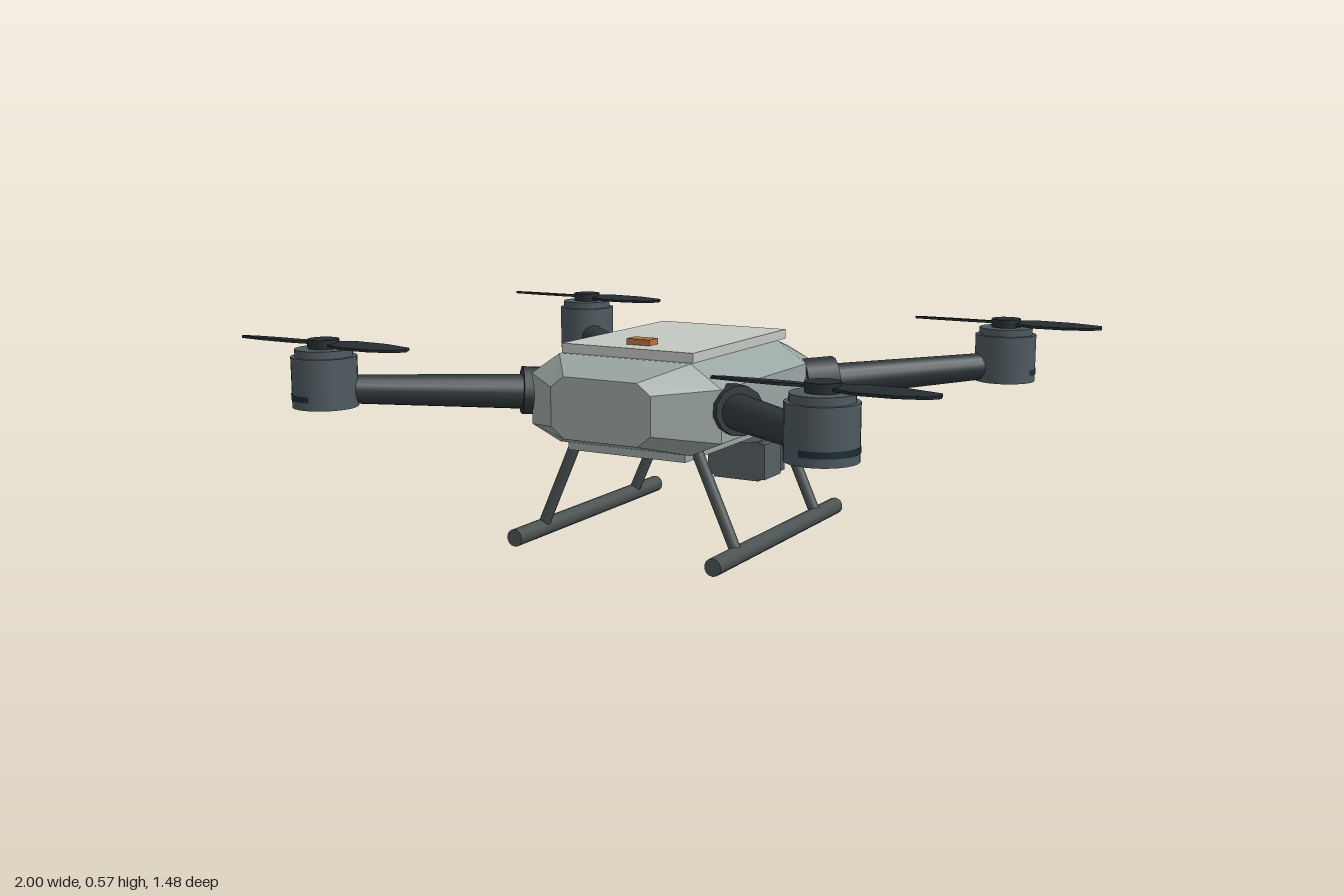
import * as THREE from 'three';

const mat = (color, extra = {}) => new THREE.MeshStandardMaterial({ color, ...extra });
const shellMat = mat(0x9aa6a3, { flatShading: true });
const plateMat = mat(0xc3c7c2);
const darkMat = mat(0x30383b);
const motorMat = mat(0x4e595e);
const frameMat = mat(0x4a5252);
const cameraMat = mat(0x566062);
const bladeMat = mat(0x252d30);
const lensMat = mat(0x17222b);
const ledMat = mat(0xb87340);

function add(parent, name, geometry, material, x = 0, y = 0, z = 0) {
  const mesh = new THREE.Mesh(geometry, material);
  mesh.name = name;
  mesh.position.set(x, y, z);
  parent.add(mesh);
  return mesh;
}

const box = (w, h, d) => new THREE.BoxGeometry(w, h, d);
const cyl = (r, h, n = 24, r2 = r) => new THREE.CylinderGeometry(r, r2, h, n);

// Cylinder running from point a (radius ra) to point b (radius rb)
function rod(parent, name, a, b, ra, rb, material, sides = 16) {
  const from = new THREE.Vector3(...a), to = new THREE.Vector3(...b);
  const dir = to.clone().sub(from);
  const mesh = add(parent, name, cyl(rb, dir.length(), sides, ra), material);
  mesh.position.copy(from).add(to).multiplyScalar(0.5);
  mesh.quaternion.setFromUnitVectors(new THREE.Vector3(0, 1, 0), dir.normalize());
  return mesh;
}

// Faceted hull lofted through chamfered sections, front to back
function hullGeometry() {
  // z, half width at top/bottom, half width at middle, bottom, lower corner, upper corner, top
  const sections = [
    [0.43, 0.11, 0.15, 0.325, 0.355, 0.46, 0.49],
    [0.31, 0.20, 0.29, 0.29, 0.33, 0.47, 0.53],
    [-0.20, 0.20, 0.29, 0.29, 0.33, 0.47, 0.53],
    [-0.38, 0.15, 0.22, 0.325, 0.35, 0.455, 0.49],
    [-0.475, 0.09, 0.13, 0.35, 0.37, 0.435, 0.455],
  ];
  const loops = sections.map(([z, w, m, y0, y1, y2, y3]) => [
    [w, y0, z], [m, y1, z], [m, y2, z], [w, y3, z],
    [-w, y3, z], [-m, y2, z], [-m, y1, z], [-w, y0, z],
  ]);
  const pos = [];
  const tri = (...points) => points.forEach((p) => pos.push(...p));
  for (let s = 0; s < loops.length - 1; s++) {
    const a = loops[s], b = loops[s + 1];
    for (let i = 0; i < 8; i++) {
      const j = (i + 1) % 8;
      tri(a[i], b[i], a[j]);
      tri(a[j], b[i], b[j]);
    }
  }
  const front = loops[0], back = loops[loops.length - 1];
  for (let i = 1; i < 7; i++) {
    tri(front[0], front[i], front[i + 1]);
    tri(back[0], back[i + 1], back[i]);
  }
  const geometry = new THREE.BufferGeometry();
  geometry.setAttribute('position', new THREE.Float32BufferAttribute(pos, 3));
  geometry.computeVertexNormals();
  return geometry;
}

// One thin propeller blade pointing along +x, lying flat
function bladeGeometry() {
  const shape = new THREE.Shape();
  shape.moveTo(0.015, -0.018);
  shape.lineTo(0.09, -0.04);
  shape.lineTo(0.18, -0.038);
  shape.lineTo(0.255, -0.024);
  shape.lineTo(0.28, -0.006);
  shape.lineTo(0.275, 0.014);
  shape.lineTo(0.19, 0.032);
  shape.lineTo(0.09, 0.036);
  shape.lineTo(0.015, 0.018);
  const geometry = new THREE.ExtrudeGeometry(shape, { depth: 0.007, bevelEnabled: false });
  return geometry.translate(0, 0, -0.0035).rotateX(-Math.PI / 2 + 0.1);
}

// Arm, collar, motor and propeller for one corner
function rotorArm(sx, sz) {
  const arm = new THREE.Group();
  arm.name = 'rotorArm';
  rod(arm, 'armTube', [sx * 0.25, 0.408, sz * 0.22], [sx * 0.70, 0.44, sz * 0.632], 0.05, 0.038, darkMat);
  rod(arm, 'armCollar', [sx * 0.265, 0.412, sz * 0.232], [sx * 0.335, 0.417, sz * 0.294], 0.066, 0.066, darkMat, 12);

  const motor = new THREE.Group();
  motor.name = 'motor';
  motor.position.set(sx * 0.72, 0, sz * 0.65);
  add(motor, 'motorCan', cyl(0.087, 0.135, 28), motorMat, 0, 0.4625, 0);
  add(motor, 'motorCap', cyl(0.076, 0.02, 28), motorMat, 0, 0.54, 0);
  // Dark strip wrapped around the outward side of the can
  const outward = Math.atan2(sx * 0.75, sz * 0.66);
  add(motor, 'motorStrip', new THREE.CylinderGeometry(0.0885, 0.0885, 0.016, 16, 1, true,
    outward - 1.05, 2.1), mat(0x1c2d33, { side: THREE.DoubleSide }), 0, 0.424, 0);
  const propeller = new THREE.Group();
  propeller.name = 'propeller';
  propeller.position.y = 0.563;
  add(propeller, 'propellerHub', cyl(0.042, 0.024, 20), bladeMat);
  for (const turn of [0, Math.PI]) {
    add(propeller, 'propellerBlade', bladeGeometry(), bladeMat).rotation.y = turn;
  }
  motor.add(propeller);
  arm.add(motor);
  return arm;
}

// Camera hanging at the back end
function cameraUnit() {
  const camera = new THREE.Group();
  camera.name = 'camera';
  add(camera, 'gimbalDisc', cyl(0.07, 0.046), cameraMat, 0, 0.223, -0.36);
  add(camera, 'gimbalBlock', box(0.15, 0.12, 0.11), cameraMat, 0, 0.14, -0.395);
  for (const s of [1, -1]) {
    add(camera, 'gimbalCheek', box(0.022, 0.108, 0.11), cameraMat, s * 0.084, 0.14, -0.395);
  }
  add(camera, 'cameraHousing', box(0.14, 0.105, 0.085), motorMat, 0, 0.133, -0.489);
  rod(camera, 'lensBarrel', [0, 0.136, -0.53], [0, 0.136, -0.575], 0.042, 0.042, lensMat, 24);
  rod(camera, 'lensGlass', [0, 0.136, -0.574], [0, 0.136, -0.583], 0.031, 0.031, lensMat, 24);
  return camera;
}

export function createModel() {
  const drone = new THREE.Group();
  drone.name = 'drone';

  // Hull with its plates and indicator light
  add(drone, 'hull', hullGeometry(), shellMat);
  add(drone, 'topPlate', box(0.40, 0.027, 0.55), plateMat, 0, 0.5425, 0.023);
  add(drone, 'bellyPlate', box(0.36, 0.03, 0.575), shellMat, 0, 0.283, 0.015);
  add(drone, 'indicatorLight', box(0.07, 0.016, 0.045), ledMat, 0, 0.564, 0.213);

  // Four arms
  for (const sx of [1, -1]) {
    for (const sz of [1, -1]) drone.add(rotorArm(sx, sz));
  }

  // Landing gear and rear sensors
  for (const s of [1, -1]) {
    for (const z of [0.247, -0.25]) {
      rod(drone, 'leg', [s * 0.18, 0.30, z], [s * 0.305, 0.025, z], 0.016, 0.016, frameMat, 12);
    }
    rod(drone, 'skid', [s * 0.305, 0.024, -0.385], [s * 0.305, 0.024, 0.385], 0.024, 0.024, frameMat, 14);
    rod(drone, 'rearSensor', [s * 0.12, 0.425, -0.428], [s * 0.208, 0.425, -0.457], 0.017, 0.017, lensMat, 12);
  }

  drone.add(cameraUnit());
  return drone;
}
